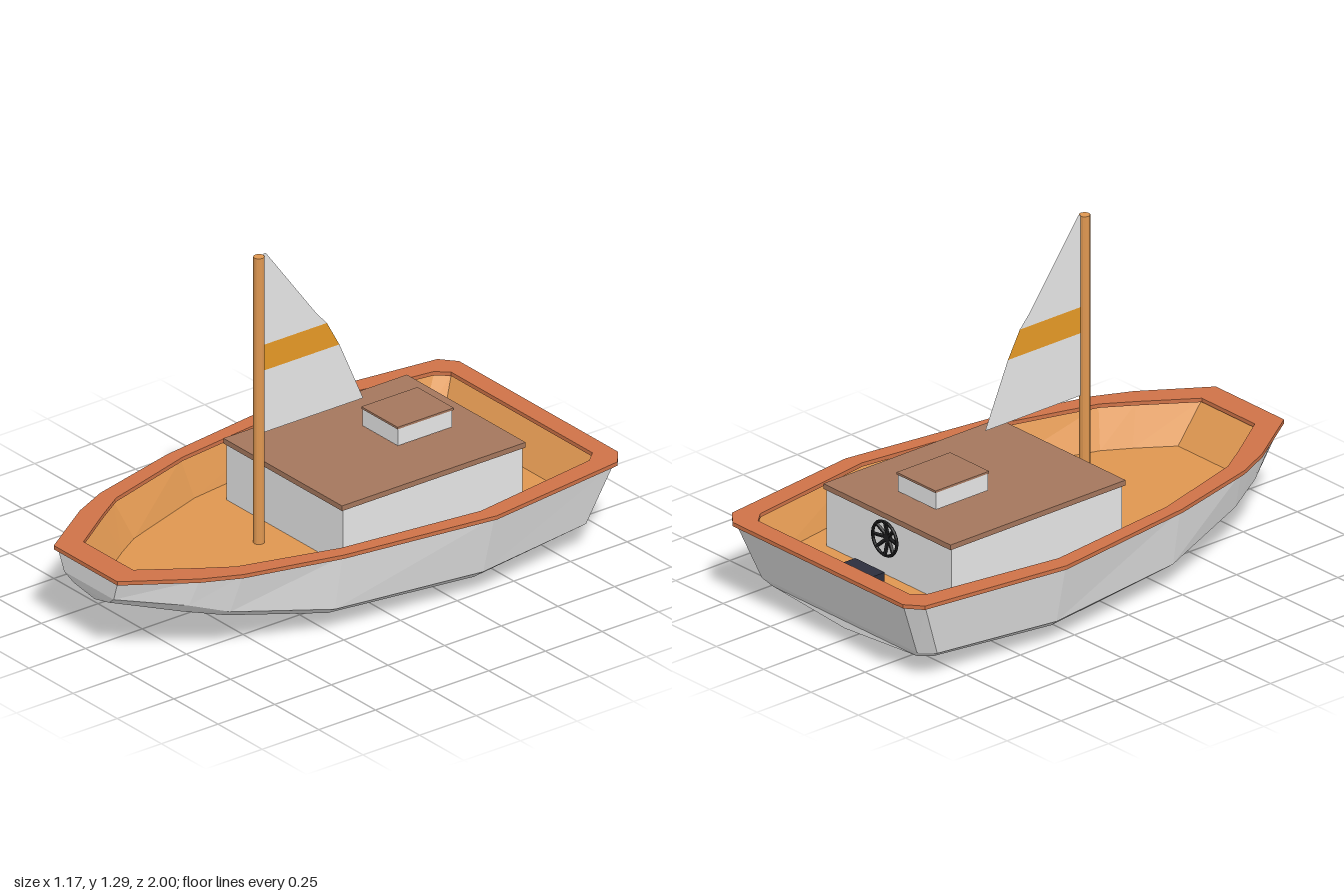
import * as THREE from 'three';

const mat = (name, color, extra = {}) => {
  const m = new THREE.MeshStandardMaterial({ color, flatShading: true, ...extra });
  m.name = name;
  return m;
};

// Half outline (bow to stern, +x side) mirrored into a closed ring
const ring = (half) => [
  ...half.map(([x, y, z]) => new THREE.Vector3(x, y, z)),
  ...half.slice().reverse().map(([x, y, z]) => new THREE.Vector3(-x, y, z)),
];
const flatRing = (half, y) => ring(half.map(([x, z]) => [x, y, z]));

// Skin a sequence of rings with flat quads
function skin(rings) {
  const pts = [];
  for (let r = 0; r < rings.length - 1; r++) {
    const a = rings[r], b = rings[r + 1], n = a.length;
    for (let i = 0; i < n; i++) {
      const j = (i + 1) % n;
      pts.push(a[i], b[i], a[j], a[j], b[i], b[j]);
    }
  }
  const g = new THREE.BufferGeometry().setFromPoints(pts);
  g.computeVertexNormals();
  return g;
}

export function createModel() {
  const boat = new THREE.Group();
  boat.name = 'sailboat';
  const white = mat('white paint', 0xeeeeee);
  const wood = mat('light wood', 0xdf9751);
  const trim = mat('terracotta trim', 0xcf7348);
  const roofBrown = mat('roof brown', 0xa5775d);
  const black = mat('black', 0x1c1c1e);
  const navy = mat('navy', 0x2c2f3d);
  const cloth = mat('sail cloth', 0xeeeeee, { side: THREE.DoubleSide });
  const stripeMat = mat('sail stripe', 0xf0a028, { side: THREE.DoubleSide });

  const add = (name, geo, material, parent = boat) => {
    const m = new THREE.Mesh(geo, material);
    m.name = name;
    parent.add(m);
    return m;
  };
  // Box from its limits
  const box = (name, material, [x0, x1], [y0, y1], [z0, z1]) => {
    const m = add(name, new THREE.BoxGeometry(x1 - x0, y1 - y0, z1 - z0), material);
    m.position.set((x0 + x1) / 2, (y0 + y1) / 2, (z0 + z1) / 2);
    return m;
  };

  // Hull: sheer line, two chines and keel
  const outer = [[0.18, 1], [0.34, 0.76], [0.405, 0.62], [0.5, 0.25], [0.585, -0.36], [0.51, -0.95], [0.45, -1]];
  const sheer = outer.map(([x, z]) => [x - 0.01, z * 0.99]);
  const highChine = [[0.14, 0.24, 0.985], [0.29, 0.21, 0.77], [0.345, 0.165, 0.63], [0.45, 0.1, 0.25],
    [0.52, 0.09, -0.35], [0.46, 0.1, -0.85], [0.41, 0.1, -0.9]];
  const lowChine = [[0.1, 0.21, 0.975], [0.25, 0.172, 0.77], [0.31, 0.135, 0.62], [0.41, 0.07, 0.25],
    [0.48, 0.058, -0.34], [0.42, 0.07, -0.83], [0.38, 0.07, -0.875]];
  const keel = [[0, 0.18, 0.96], [0, 0.137, 0.77], [0, 0.105, 0.62], [0, 0.02, 0.25],
    [0, 0, -0.33], [0, 0.037, -0.83], [0, 0.042, -0.875]];
  add('hull', skin([flatRing(sheer, 0.32), ring(highChine), ring(lowChine), ring(keel)]), white);

  // Gunwale: flat rim with a small lip on the inside
  const inner = [[0.14, 0.9], [0.27, 0.71], [0.34, 0.6], [0.45, 0.22], [0.52, -0.34], [0.44, -0.88], [0.4, -0.925]];
  const wallTop = inner.map(([x, z]) => [x + 0.01, z * 1.01]);
  add('gunwale', skin([flatRing(wallTop, 0.315), flatRing(inner, 0.315), flatRing(inner, 0.33),
    flatRing(outer, 0.33), flatRing(outer, 0.315), flatRing(sheer, 0.315)]), trim);

  // Cockpit floor and sloping inner walls
  const floor = [[0.14, 0.79], [0.23, 0.66], [0.29, 0.56], [0.41, 0.2], [0.48, -0.33], [0.4, -0.8], [0.35, -0.85]];
  const spine = floor.map(([, z]) => [0, z]);
  add('deck', skin([flatRing(spine, 0.18), flatRing(floor, 0.18), flatRing(wallTop, 0.318)]), wood);

  // Cabin and roof hatch
  box('cabin', white, [-0.33, 0.33], [0.18, 0.4], [-0.67, 0.12]);
  box('cabinRoof', roofBrown, [-0.336, 0.336], [0.4, 0.42], [-0.68, 0.13]);
  box('hatch', white, [-0.1, 0.1], [0.43, 0.496], [-0.54, -0.3]);
  box('hatchLid', roofBrown, [-0.103, 0.103], [0.496, 0.504], [-0.545, -0.297]);

  // Stern locker
  box('sternLocker', navy, [-0.08, 0.076], [0.18, 0.25], [-0.845, -0.76]);

  // Dished steering wheel on the cabin's rear wall
  const wheel = new THREE.Group();
  wheel.name = 'steeringWheel';
  wheel.position.set(0, 0.33, -0.67);
  boat.add(wheel);
  add('wheelRim', new THREE.TorusGeometry(0.064, 0.006, 6, 20), black, wheel).position.z = -0.02;
  const hub = add('wheelHub', new THREE.CylinderGeometry(0.016, 0.016, 0.016, 10), black, wheel);
  hub.rotation.x = Math.PI / 2;
  hub.position.z = -0.006;
  for (let i = 0; i < 8; i++) {
    const a = (i / 8) * Math.PI * 2;
    const tip = new THREE.Vector3(Math.cos(a) * 0.064, Math.sin(a) * 0.064, -0.02);
    const path = new THREE.LineCurve3(new THREE.Vector3(0, 0, -0.004), tip);
    add('wheelSpoke', new THREE.TubeGeometry(path, 1, 0.007, 5), black, wheel);
  }

  // Mast
  const mast = add('mast', new THREE.CylinderGeometry(0.02, 0.02, 1.11, 12), wood);
  mast.position.set(0, 0.735, 0.235);

  // Sail in the centre plane, split into cloth and stripe (points are z, y)
  const sailPanel = (name, points, material) => {
    const shape = new THREE.Shape(points.map(([z, y]) => new THREE.Vector2(-z, y)));
    add(name, new THREE.ShapeGeometry(shape), material).rotation.y = Math.PI / 2;
  };
  sailPanel('sailTop', [[0.22, 0.94], [0.215, 1.295], [0.205, 1.295], [-0.02, 0.99], [-0.065, 0.94]], cloth);
  sailPanel('sailStripe', [[0.22, 0.84], [0.22, 0.94], [-0.065, 0.94], [-0.12, 0.84]], stripeMat);
  sailPanel('sailBottom', [[0.22, 0.6], [0.22, 0.84], [-0.12, 0.84], [-0.225, 0.6]], cloth);

  return boat;
}
